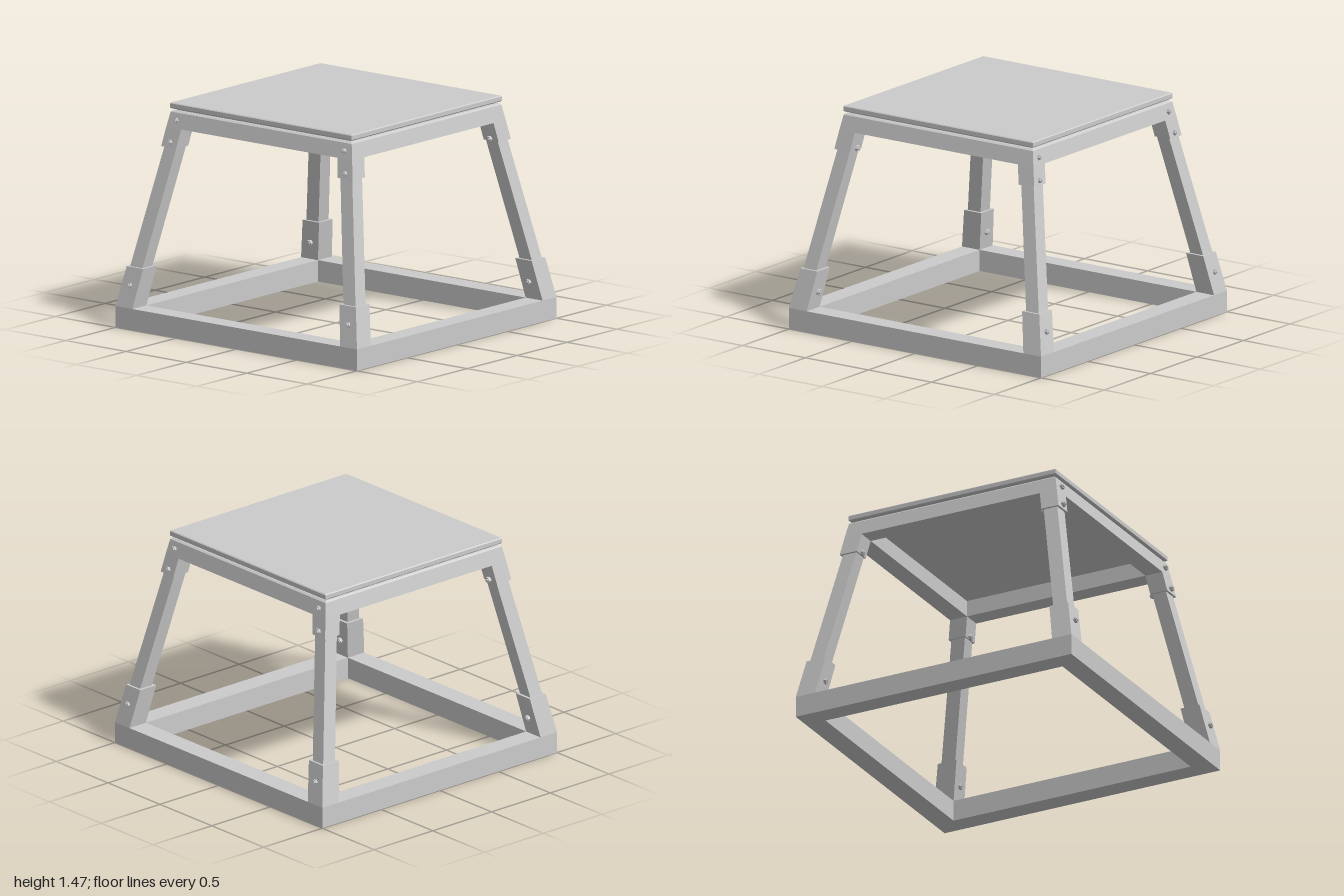
import * as THREE from 'three';

const material = new THREE.MeshStandardMaterial({ color: 0xcccccc, flatShading: true });

function add(parent, name, geometry) {
  const flat = geometry.index ? geometry.toNonIndexed() : geometry;
  flat.computeVertexNormals();
  const mesh = new THREE.Mesh(flat, material);
  mesh.name = name;
  parent.add(mesh);
  return mesh;
}

// Square mitred ring or slab; profile points are [half width, y], going bottom, outside, top
function squareLathe(profile) {
  const points = profile.map(([half, y]) => new THREE.Vector2(half * Math.SQRT2, y));
  return new THREE.LatheGeometry(points, 4, Math.PI / 4);
}

// Square post leaning inward at a corner; each end is [y, outer edge, inner edge]
function leaningPost(sx, sz, [y0, out0, in0], [y1, out1, in1]) {
  const geometry = new THREE.BoxGeometry(1, 1, 1);
  const p = geometry.attributes.position;
  for (let i = 0; i < p.count; i++) {
    const top = p.getY(i) > 0;
    const [y, outer, inner] = top ? [y1, out1, in1] : [y0, out0, in0];
    const centre = (outer + inner) / 2;
    const width = outer - inner;
    p.setXYZ(i, sx * centre + p.getX(i) * width, y, sz * centre + p.getZ(i) * width);
  }
  return geometry;
}

const SLOPE = 0.197;
const outerFace = (y) => 1 - SLOPE * (y - 0.14);

// Hex head or nut with a smaller round tip, square to the leaning x face
function addBolt(parent, name, sx, x, y, z, outward) {
  const bolt = new THREE.Group();
  bolt.name = name;
  add(bolt, 'hexHead', new THREE.CylinderGeometry(0.02, 0.02, 0.018, 6)).position.y = 0.009;
  add(bolt, 'boltTip', new THREE.CylinderGeometry(0.012, 0.012, 0.008, 12)).position.y = 0.021;
  bolt.position.set(sx * x, y, z);
  const normal = new THREE.Vector3(sx, SLOPE, 0).normalize().multiplyScalar(outward ? 1 : -1);
  bolt.quaternion.setFromUnitVectors(new THREE.Vector3(0, 1, 0), normal);
  parent.add(bolt);
}

export function createModel() {
  const model = new THREE.Group();
  model.name = 'platformStand';

  // Base, top frame and platform
  add(model, 'baseFrame', squareLathe([[0.86, 0], [1, 0], [1, 0.14], [0.86, 0.14], [0.86, 0]]));
  add(model, 'topFrame', squareLathe([
    [0.647, 1.305], [0.77, 1.305], [0.75, 1.405], [0.737, 1.415], [0.647, 1.415], [0.647, 1.305],
  ]));
  add(model, 'spacer', squareLathe([[0, 1.413], [0.72, 1.413], [0.72, 1.428], [0, 1.428]]));
  add(model, 'platform', squareLathe([
    [0, 1.426], [0.746, 1.426], [0.752, 1.432], [0.752, 1.459], [0.746, 1.465], [0, 1.465],
  ]));

  // Corner legs with their sockets and bolts
  for (const sx of [-1, 1]) {
    for (const sz of [-1, 1]) {
      const corner = new THREE.Group();
      corner.name = `${sz > 0 ? 'front' : 'back'}${sx > 0 ? 'Left' : 'Right'}Leg`;
      model.add(corner);

      add(corner, 'lowerSocket', leaningPost(sx, sz, [0.14, 1, 0.86], [0.4, 0.949, 0.813]));
      add(corner, 'legPost', leaningPost(sx, sz, [0.3, 0.953, 0.852], [1.25, 0.764, 0.666]));
      add(corner, 'upperSocket', leaningPost(sx, sz, [1.18, 0.793, 0.67], [1.305, 0.77, 0.647]));

      addBolt(corner, 'lowerBolt', sx, outerFace(0.281), 0.281, sz * 0.905, true);
      addBolt(corner, 'lowerNut', sx, 0.84, 0.253, sz * 0.905, false);
      addBolt(corner, 'middleBolt', sx, 0.787, 1.213, sz * 0.725, true);
      addBolt(corner, 'middleNut', sx, 0.667, 1.194, sz * 0.725, false);
      addBolt(corner, 'upperBolt', sx, 0.76, 1.354, sz * 0.695, true);
    }
  }
  return model;
}
